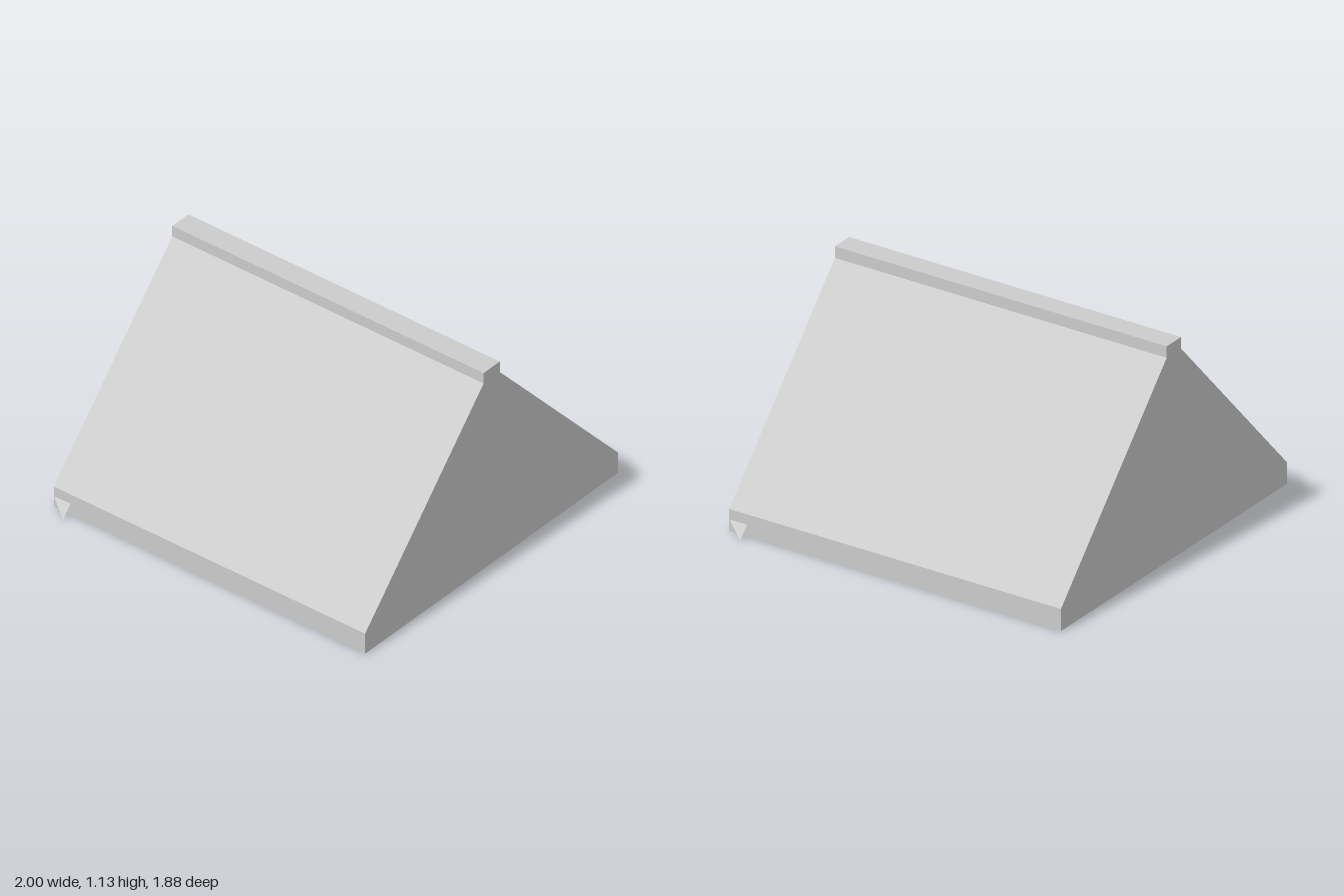
import * as THREE from 'three';

const W = 0.942;      // half width and half depth
const EAVE = 0.115;   // height of the side skirts
const RIDGE = 1.07;   // height where the roof meets the ridge beam
const R = 0.06;       // half width of the ridge beam

const material = new THREE.MeshStandardMaterial({
  color: 0xcccccc, flatShading: true, side: THREE.DoubleSide,
});

// Flat four-cornered sheet
function sheet(name, a, b, c, d) {
  const g = new THREE.BufferGeometry();
  g.setAttribute('position', new THREE.Float32BufferAttribute([a, b, c, a, c, d].flat(), 3));
  g.computeVertexNormals();
  const mesh = new THREE.Mesh(g, material);
  mesh.name = name;
  return mesh;
}

// One half of the tent: front gable, one roof slope, its skirt and two hems
function tentHalf() {
  const half = new THREE.Group();

  const outline = new THREE.Shape([
    [-W, 0], [W, 0], [W, EAVE], [R, RIDGE], [-R, RIDGE], [-W, EAVE],
  ].map(([x, y]) => new THREE.Vector2(x, y)));
  const gable = new THREE.Mesh(new THREE.ShapeGeometry(outline), material);
  gable.name = 'gableWall';
  gable.position.z = W;
  half.add(gable);

  half.add(sheet('roofSlope', [W, EAVE, W], [W, EAVE, -W], [R, RIDGE, -W], [R, RIDGE, W]));
  half.add(sheet('sideSkirt', [W, 0, W], [W, 0, -W], [W, EAVE, -W], [W, EAVE, W]));

  // Narrow hems under the roof edges, cut on the slant at the foot
  const z0 = W - 0.002, z1 = 0.84;
  half.add(sheet('rightHem', [W, 0.06, z0], [1, 0, z1], [R, 1.0, z1], [R, 1.0, z0]));
  half.add(sheet('leftHem', [-R, 1.0, z0], [-R, 1.0, z1], [-0.885, 0.12, z1], [-W, 0.06, z0]));
  return half;
}

export function createModel() {
  const model = new THREE.Group();
  model.name = 'tent';

  // The two halves match under a half turn
  ['frontHalf', 'backHalf'].forEach((name, i) => {
    const half = tentHalf();
    half.name = name;
    half.rotation.y = i * Math.PI;
    model.add(half);
  });

  // Ridge beam along the top
  const beam = new THREE.Mesh(new THREE.BoxGeometry(2 * R, 0.125, 2 * W), material);
  beam.name = 'ridgeBeam';
  beam.position.y = 1.0675;
  model.add(beam);
  return model;
}
